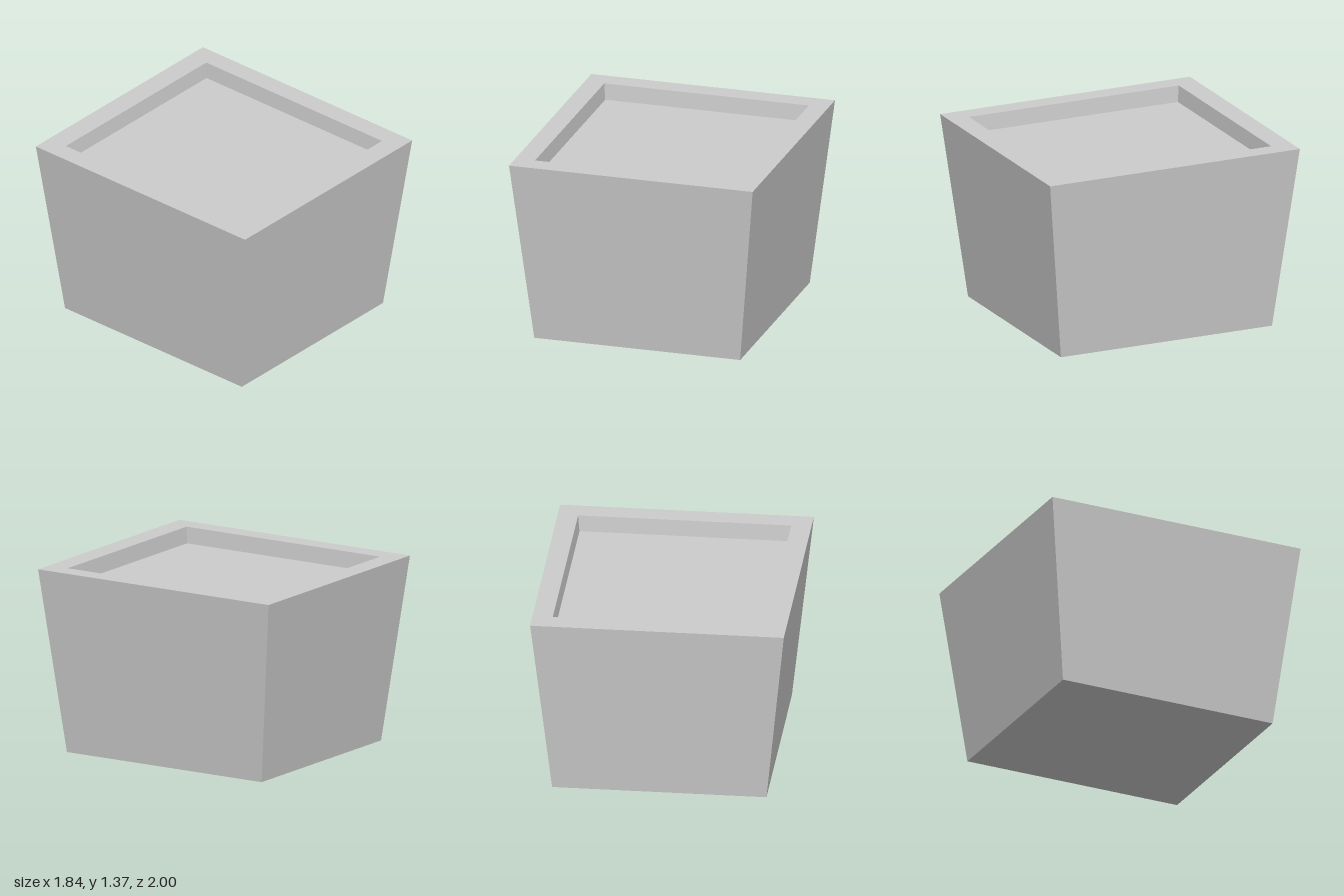
import * as THREE from 'three';

const HEIGHT = 1.365;
const BED_Y = 1.245;
const X_RATIO = 0.922; // width relative to depth

// Square, tapered solid from a profile of [half depth, height]
function squareLathe(profile) {
  const points = profile.map(([half, y]) => new THREE.Vector2(half * Math.SQRT2, y));
  const geometry = new THREE.LatheGeometry(points, 4, Math.PI / 4).toNonIndexed();
  geometry.scale(X_RATIO, 1, 1);
  geometry.computeVertexNormals();
  return geometry;
}

export function createModel() {
  const model = new THREE.Group();
  model.name = 'planterBox';
  const material = new THREE.MeshStandardMaterial({ color: 0xcccccc, flatShading: true });

  // Tapered pot: underside, outer walls, rim and inner walls
  const pot = new THREE.Mesh(squareLathe([
    [0, 0], [0.845, 0], [1, HEIGHT], [0.84, HEIGHT], [0.828, BED_Y],
  ]), material);
  pot.name = 'pot';

  // Flat bed sunk below the rim
  const bedGeometry = new THREE.PlaneGeometry(2 * 0.828 * X_RATIO, 2 * 0.828);
  bedGeometry.rotateX(-Math.PI / 2);
  const bed = new THREE.Mesh(bedGeometry, material);
  bed.name = 'bed';
  bed.position.y = BED_Y;

  model.add(pot, bed);
  return model;
}
